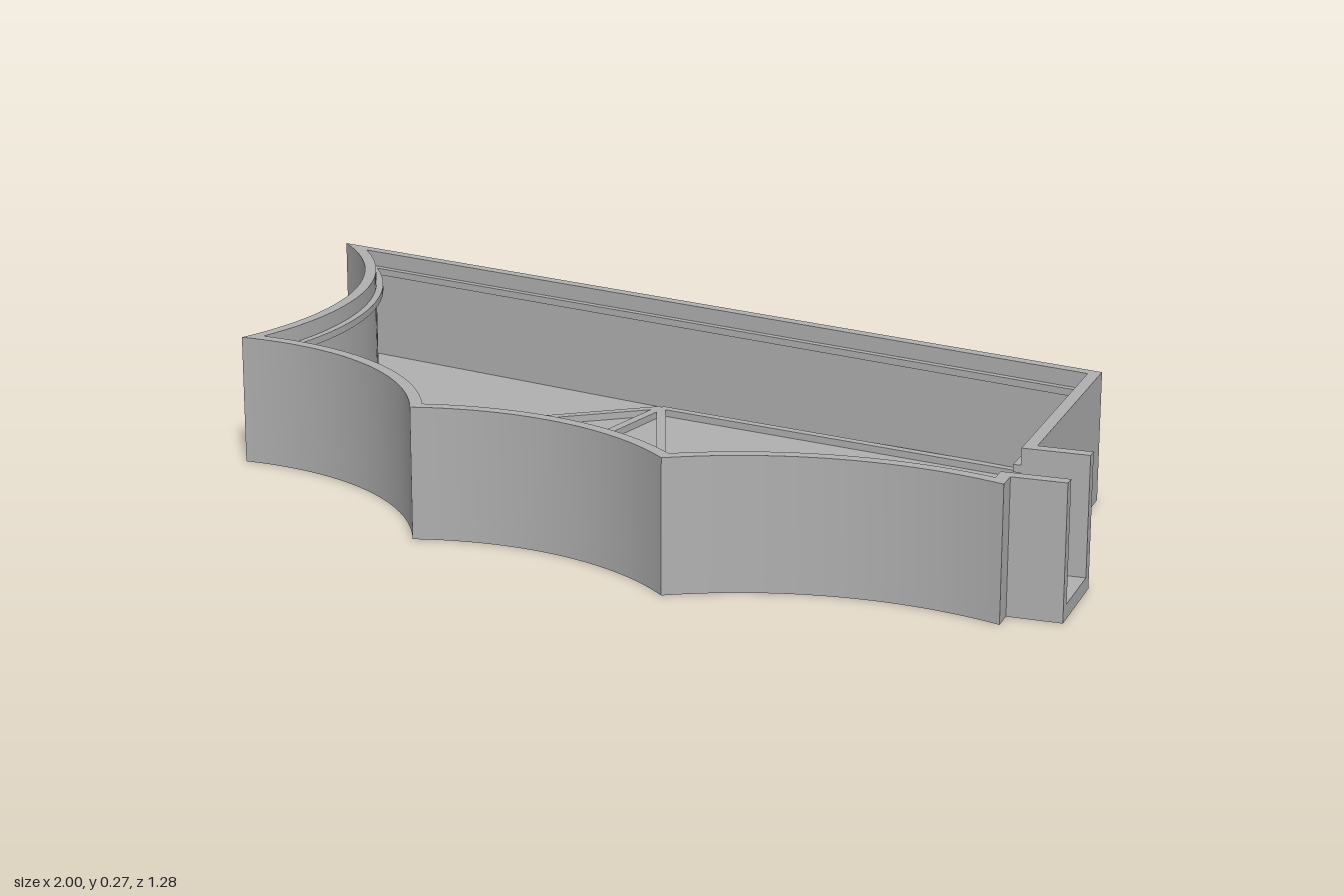
import * as THREE from 'three';
import { toCreasedNormals } from 'three/addons/utils/BufferGeometryUtils.js';

const FLOOR = 0.03, HEIGHT = 0.273, WALL = 0.025, BEAD = 0.04;

// Unit direction and inward normal of a plan segment, points as [x, z]
function frame(p, q) {
  const dx = q[0] - p[0], dz = q[1] - p[1], len = Math.hypot(dx, dz);
  return { d: [dx / len, dz / len], n: [dz / len, -dx / len], len };
}

// Circular arc from p to q that bulges inward by sag
function arc(p, q, sag, steps = 28) {
  const { d, n, len } = frame(p, q), h = len / 2;
  const r = (h * h + sag * sag) / (2 * sag), half = Math.asin(h / r);
  const c = [0, 1].map(k => (p[k] + q[k]) / 2 + n[k] * (sag - r));
  return Array.from({ length: steps + 1 }, (_, i) => {
    const t = half * (2 * i / steps - 1);
    return [0, 1].map(k => c[k] + r * (n[k] * Math.cos(t) + d[k] * Math.sin(t)));
  });
}

// Shift one edge inward; straight edges are lengthened so that neighbours cross
function shift(edge, t) {
  const last = edge.length - 1, extra = last === 1 ? 0.06 : 0;
  return edge.map((p, i) => {
    const { d, n } = frame(edge[Math.max(0, i - 1)], edge[Math.min(last, i + 1)]);
    const e = i === 0 ? -extra : i === last ? extra : 0;
    return [0, 1].map(k => p[k] + n[k] * t + d[k] * e);
  });
}

function crossing(a, b, c, d) {
  const ux = b[0] - a[0], uz = b[1] - a[1], vx = d[0] - c[0], vz = d[1] - c[1];
  const det = ux * vz - uz * vx;
  if (Math.abs(det) < 1e-12) return null;
  const s = ((c[0] - a[0]) * vz - (c[1] - a[1]) * vx) / det;
  const t = ((c[0] - a[0]) * uz - (c[1] - a[1]) * ux) / det;
  return s >= 0 && s <= 1 && t >= 0 && t <= 1 ? [a[0] + s * ux, a[1] + s * uz] : null;
}

// Trim two neighbouring edges at their crossing
function trim(a, b) {
  for (let i = a.length - 2; i >= 0; i--) {
    for (let j = 0; j < b.length - 1; j++) {
      const x = crossing(a[i], a[i + 1], b[j], b[j + 1]);
      if (x) {
        a.splice(i + 1, a.length, x);
        b.splice(0, j + 1, x);
        return;
      }
    }
  }
}

function join(edges) {
  return edges.flatMap((e, i) => (i ? e.slice(1) : e));
}

function inset(edges, t) {
  const out = edges.map(e => shift(e, t));
  for (let i = 0; i < out.length - 1; i++) trim(out[i], out[i + 1]);
  const path = join(out);
  path[0][0] = path[path.length - 1][0] = 1;
  return path;
}

// Upright slab over a plan outline
function slab(points, y0, y1) {
  const shape = new THREE.Shape(points.map(([x, z]) => new THREE.Vector2(x, -z)));
  const geo = new THREE.ExtrudeGeometry(shape, { depth: y1 - y0, bevelEnabled: false });
  geo.rotateX(-Math.PI / 2).translate(0, y0, 0);
  return toCreasedNormals(geo, 0.4);
}

export function createModel() {
  const group = new THREE.Group();
  const grey = new THREE.MeshStandardMaterial({ color: 0xb0b0b0 });
  grey.name = 'grey';
  const add = (name, geo) => {
    const mesh = new THREE.Mesh(geo, grey);
    mesh.name = name;
    group.add(mesh);
    return mesh;
  };

  // Wing outline, open at the end of the spout on the +x side
  const backRight = [0.892, -0.205], backTip = [-1, -0.645], tip1 = [-0.86, 0.165];
  const tip2 = [-0.322, 0.505], tip3 = [0.252, 0.64], frontRight = [0.892, 0.572];
  const spoutBack = [0.892, 0.323], spoutFront = [0.892, 0.525];
  const edges = [
    [[1, 0.323], spoutBack],
    [spoutBack, backRight],
    [backRight, backTip],
    arc(backTip, tip1, 0.13),
    arc(tip1, tip2, 0.095),
    arc(tip2, tip3, 0.08),
    arc(tip3, frontRight, 0.073),
    [frontRight, spoutFront],
    [spoutFront, [1, 0.525]],
  ];
  const outer = join(edges);
  const inner = inset(edges, WALL);

  add('floor', slab(outer, 0, FLOOR));
  add('wall', slab([...outer, ...inner.slice().reverse()], FLOOR, HEIGHT));

  // Snap bead running round the inside of the wall, stopping at the spout
  const beadOuter = inner.slice(1, -1);
  const beadInner = inset(edges, BEAD).slice(1, -1);
  beadInner[0][1] = beadOuter[0][1];
  beadInner[beadInner.length - 1][1] = beadOuter[beadOuter.length - 1][1];
  add('snapBead', slab([...beadOuter, ...beadInner.reverse()], 0.224, 0.239));

  // Raised ribs fanning out over the floor
  const apex = [-0.12, -0.37];
  for (const end of [[-0.815, 0.13], [-0.307, 0.47], [0.238, 0.595], [0.87, -0.185]]) {
    const { d, len } = frame(apex, end);
    const rib = add('rib', new THREE.BoxGeometry(len, 0.016, 0.02));
    rib.position.set((apex[0] + end[0]) / 2, FLOOR + 0.007, (apex[1] + end[1]) / 2);
    rib.rotation.y = -Math.atan2(d[1], d[0]);
  }
  return group;
}
